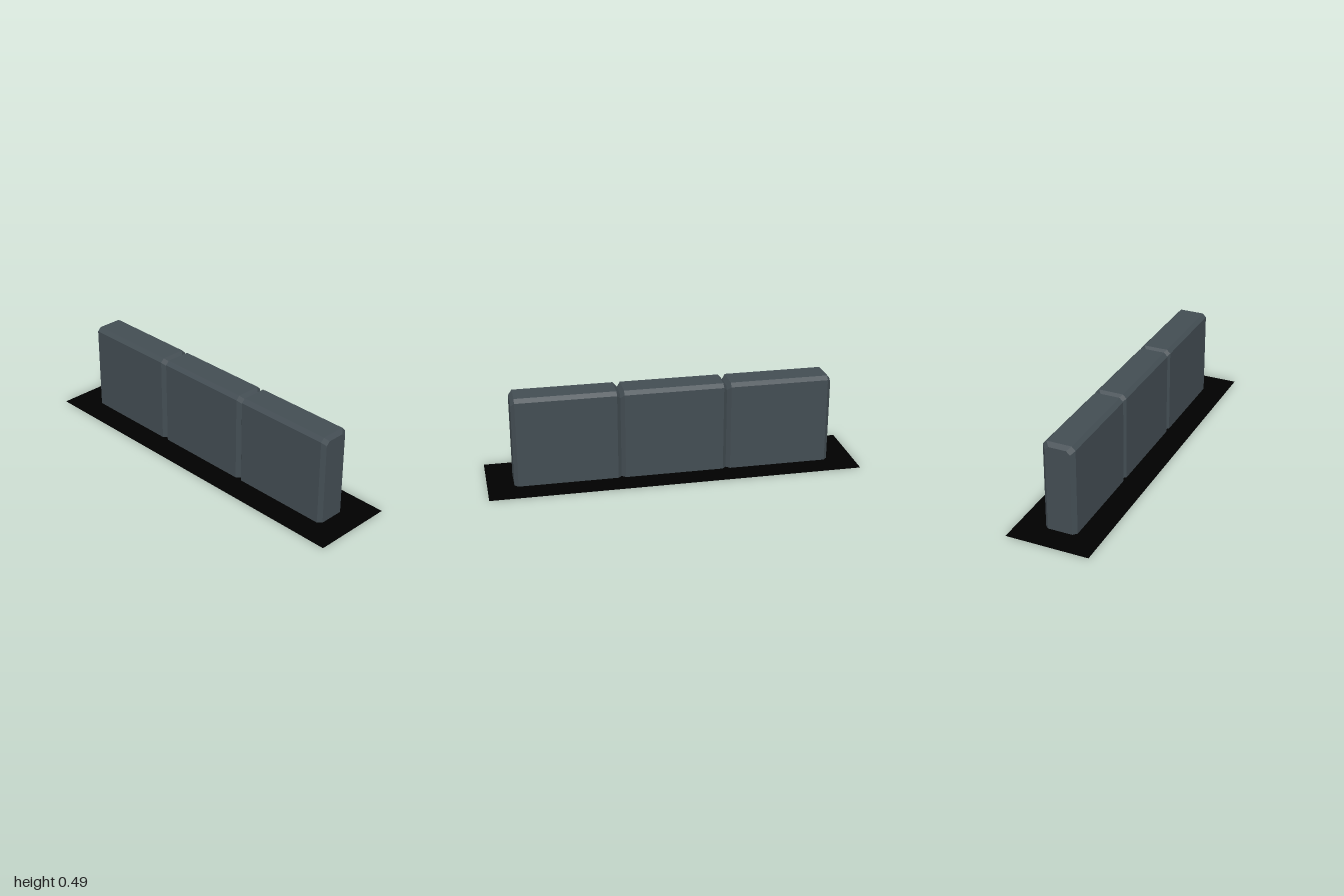
import * as THREE from 'three';

const CHAMFER = 0.02, HEIGHT = 0.488, HALF_DEPTH = 0.087, LENGTH = 0.572;

// Wall outline as [z, y], chamfered at the two top corners and open at the ground
function profile(inset) {
  const z = HALF_DEPTH - inset, y = HEIGHT - inset;
  return [
    [-z, 0], [-z, y - CHAMFER], [-z + CHAMFER, y],
    [z - CHAMFER, y], [z, y - CHAMFER], [z, 0],
  ];
}

// Loft of four cross-sections along x, giving chamfered ends
function blockGeometry() {
  const h = LENGTH / 2;
  const rings = [[-h, CHAMFER], [-h + CHAMFER, 0], [h - CHAMFER, 0], [h, CHAMFER]]
    .map(([x, inset]) => profile(inset).map(([z, y]) => [x, y, z]));
  const pos = [];
  const tri = (a, b, c) => pos.push(...a, ...b, ...c);

  for (let r = 0; r < 3; r++) {
    const A = rings[r], B = rings[r + 1];
    for (let i = 0; i < 5; i++) {
      tri(A[i], A[i + 1], B[i + 1]);
      tri(A[i], B[i + 1], B[i]);
    }
  }
  // End caps
  const first = rings[0], last = rings[3];
  for (let i = 1; i < 5; i++) {
    tri(last[0], last[i], last[i + 1]);
    tri(first[0], first[i + 1], first[i]);
  }
  const g = new THREE.BufferGeometry();
  g.setAttribute('position', new THREE.Float32BufferAttribute(pos, 3));
  g.computeVertexNormals();
  return g;
}

export function createModel() {
  const model = new THREE.Group();
  model.name = 'barrierWall';

  const slate = new THREE.MeshStandardMaterial({ color: 0x434d53 });
  slate.name = 'slate grey';
  const black = new THREE.MeshStandardMaterial({ color: 0x000000, side: THREE.DoubleSide });
  black.name = 'black';

  // Flat ground sheet
  const base = new THREE.Mesh(new THREE.PlaneGeometry(2, 0.45).rotateX(-Math.PI / 2), black);
  base.name = 'groundSheet';
  model.add(base);

  // Three equal blocks in a row
  const geometry = blockGeometry();
  ['rightBlock', 'middleBlock', 'leftBlock'].forEach((name, i) => {
    const block = new THREE.Mesh(geometry, slate);
    block.name = name;
    block.position.x = (i - 1) * LENGTH;
    model.add(block);
  });

  return model;
}
